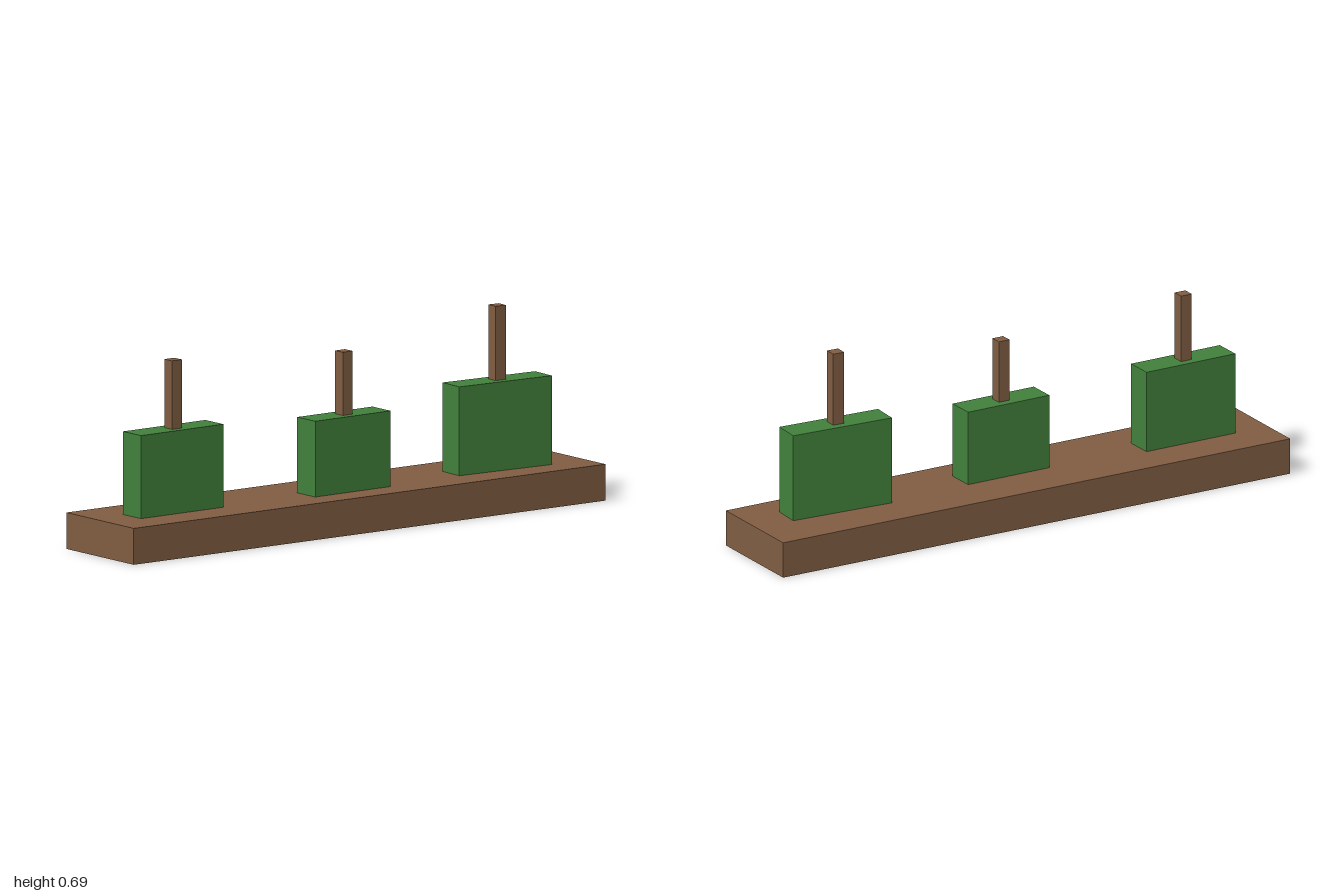
import * as THREE from 'three';

// Box standing on its own base, with the underside left open
function openBox(width, height, depth) {
  const geometry = new THREE.BoxGeometry(width, height, depth);
  const index = Array.from(geometry.index.array);
  index.splice(18, 6); // drop the bottom face
  geometry.setIndex(index);
  geometry.clearGroups();
  return geometry.translate(0, height / 2, 0);
}

export function createModel() {
  const brown = new THREE.MeshStandardMaterial({ color: 0x805d42, side: THREE.DoubleSide });
  brown.name = 'brown';
  const green = new THREE.MeshStandardMaterial({ color: 0x41803b, side: THREE.DoubleSide });
  green.name = 'green';

  const model = new THREE.Group();
  model.name = 'model';

  const add = (parent, name, geometry, material, y) => {
    const mesh = new THREE.Mesh(geometry, material);
    mesh.name = name;
    mesh.position.y = y;
    parent.add(mesh);
  };

  // Long hollow base
  const baseHeight = 0.125;
  add(model, 'base', openBox(2, baseHeight, 0.375), brown, 0);

  // Three blocks, each slightly turned, with a square post on top
  const blocks = [
    { name: 'rightBlock', x: -0.694, z: 0.005, turn: 0.01, width: 0.352, top: 0.41, postTop: 0.645 },
    { name: 'middleBlock', x: 0.006, z: 0.036, turn: 0.01, width: 0.322, top: 0.385, postTop: 0.602 },
    { name: 'leftBlock', x: 0.666, z: 0.023, turn: -0.053, width: 0.378, top: 0.43, postTop: 0.685 },
  ];
  for (const b of blocks) {
    const group = new THREE.Group();
    group.name = b.name;
    group.position.set(b.x, 0, b.z);
    group.rotation.y = b.turn;
    add(group, 'block', openBox(b.width, b.top - baseHeight, 0.1), green, baseHeight);
    add(group, 'post', openBox(0.042, b.postTop - b.top, 0.042), brown, b.top);
    model.add(group);
  }
  return model;
}
